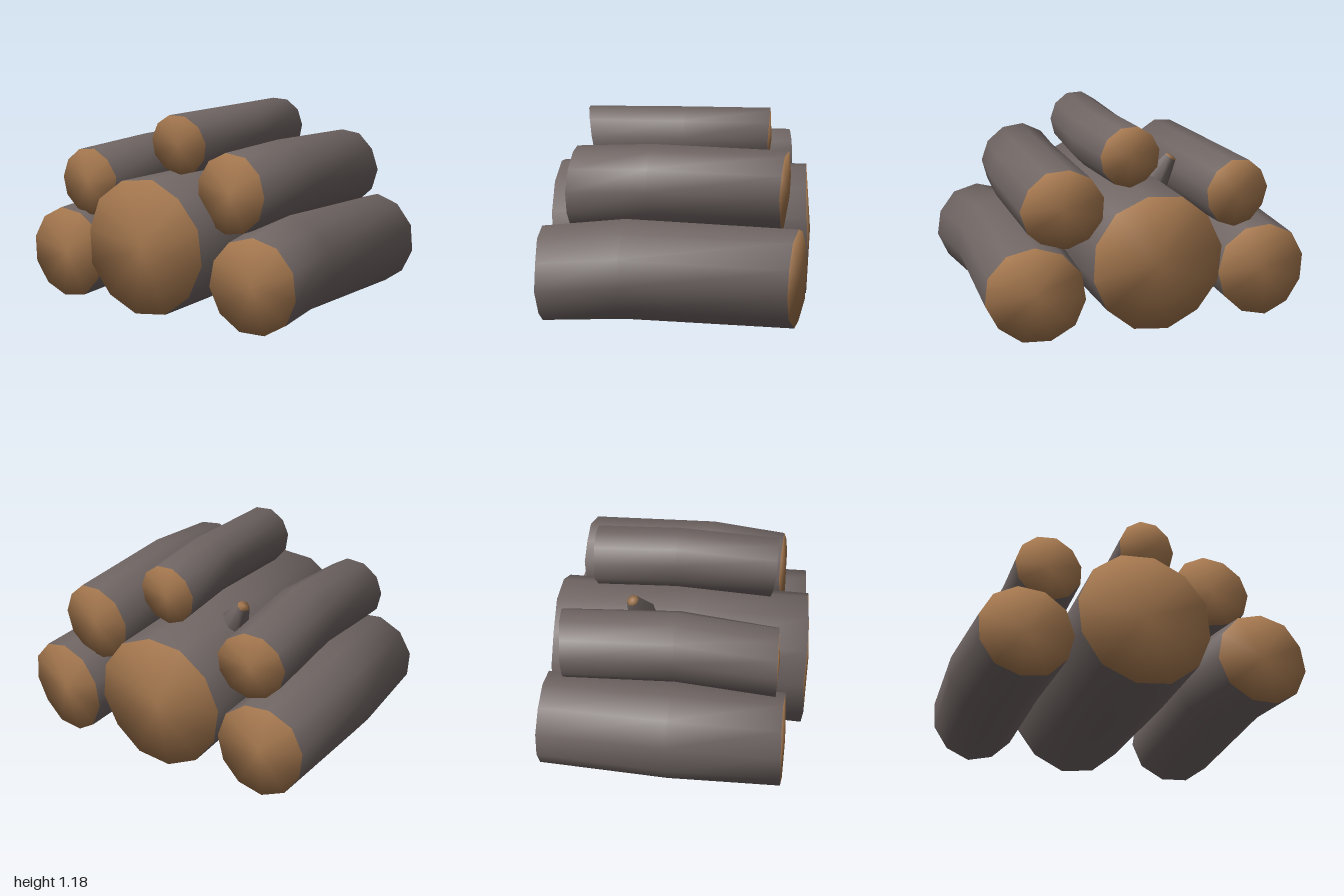
import * as THREE from 'three';

const bark = new THREE.MeshStandardMaterial({ color: 0x6f6563 });
bark.name = 'bark';
const cutWood = new THREE.MeshStandardMaterial({ color: 0xa4774e });
cutWood.name = 'cutWood';

// Small seeded generator for the uneven outlines
function seeded(seed) {
  let s = seed * 7919 + 13;
  return () => (s = (s * 16807) % 2147483647) / 2147483647;
}

// A log from rings listed front to back: [x, y, z, radius, tiltX, tiltY].
// The cut ends share their rim with the bark, so shading rolls over the edge.
function makeLog(name, rings, seed, { sides = 11, bulge = 0.015, rough = 0.04 } = {}) {
  const rand = seeded(seed);
  const pos = [], side = [], ends = [];
  const turn = rand() * 2;
  for (const [x, y, z, r, tx = 0, ty = 0] of rings) {
    for (let i = 0; i < sides; i++) {
      const a = turn + (i / sides) * Math.PI * 2;
      const c = Math.cos(a), s = Math.sin(a);
      const rr = r * (1 + (rand() - 0.5) * rough);
      pos.push(x + c * rr, y + s * rr, z + tx * c + ty * s + (rand() - 0.5) * rough * r);
    }
  }
  const last = (rings.length - 1) * sides;
  const front = rings.length * sides, back = front + 1;
  const f = rings[0], b = rings[rings.length - 1];
  pos.push(f[0], f[1], f[2] + bulge, b[0], b[1], b[2] - bulge);
  for (let i = 0; i < sides; i++) {
    const j = (i + 1) % sides;
    for (let k = 0; k < last; k += sides) {
      const n = k + sides;
      side.push(k + i, n + i, n + j, k + i, n + j, k + j);
    }
    ends.push(front, i, j, back, last + j, last + i);
  }
  const geo = new THREE.BufferGeometry();
  geo.setAttribute('position', new THREE.Float32BufferAttribute(pos, 3));
  geo.setIndex([...side, ...ends]);
  geo.addGroup(0, side.length, 0);
  geo.addGroup(side.length, ends.length, 1);
  geo.computeVertexNormals();
  const mesh = new THREE.Mesh(geo, [bark, cutWood]);
  mesh.name = name;
  return mesh;
}

export function createModel() {
  const pile = new THREE.Group();
  pile.name = 'logPile';

  // Bottom row
  pile.add(
    makeLog('largeCentreLog', [
      [-0.02, 0.42, 0.77, 0.405, -0.015, 0],
      [-0.01, 0.42, 0.1, 0.405],
      [-0.01, 0.42, -0.775, 0.405, -0.01, 0.005],
    ], 3, { sides: 12, bulge: 0.025 }),
    makeLog('lowerRightLog', [
      [-0.69, 0.285, 0.68, 0.28, 0, -0.005],
      [-0.71, 0.305, 0.02, 0.29],
      [-0.68, 0.3, -0.75, 0.28, 0, 0.015],
    ], 5),
    makeLog('lowerLeftLog', [
      [0.71, 0.285, 0.735, 0.28, -0.012, 0],
      [0.66, 0.31, 0.26, 0.29],
      [0.71, 0.295, -0.74, 0.285, 0.05, 0],
    ], 8),
  );

  // Second row
  pile.add(
    makeLog('upperRightLog', [
      [-0.555, 0.735, 0.62, 0.205, -0.01, 0],
      [-0.52, 0.765, 0.03, 0.21],
      [-0.555, 0.76, -0.645, 0.205, -0.025, 0],
    ], 11),
    makeLog('upperLeftLog', [
      [0.465, 0.755, 0.59, 0.235, 0.01, -0.01],
      [0.52, 0.775, 0.12, 0.24],
      [0.52, 0.755, -0.655, 0.24, 0.022, -0.01],
    ], 14),
  );

  // Top log
  pile.add(makeLog('topLog', [
    [0.07, 1.0, 0.545, 0.18, -0.02, 0.025],
    [0.11, 1.005, -0.04, 0.185],
    [0.08, 1.0, -0.54, 0.182, 0, -0.008],
  ], 17));

  // Broken branch stub on the large log
  const base = new THREE.Vector3(-0.16, 0.7, -0.21);
  const tip = new THREE.Vector3(-0.28, 0.91, -0.27);
  const axis = tip.clone().sub(base);
  const stub = makeLog('branchStub', [
    [0, 0, axis.length(), 0.038],
    [0, 0, 0, 0.11],
  ], 21, { sides: 8, bulge: 0.004 });
  stub.position.copy(base);
  stub.quaternion.setFromUnitVectors(new THREE.Vector3(0, 0, 1), axis.normalize());
  pile.add(stub);

  return pile;
}
